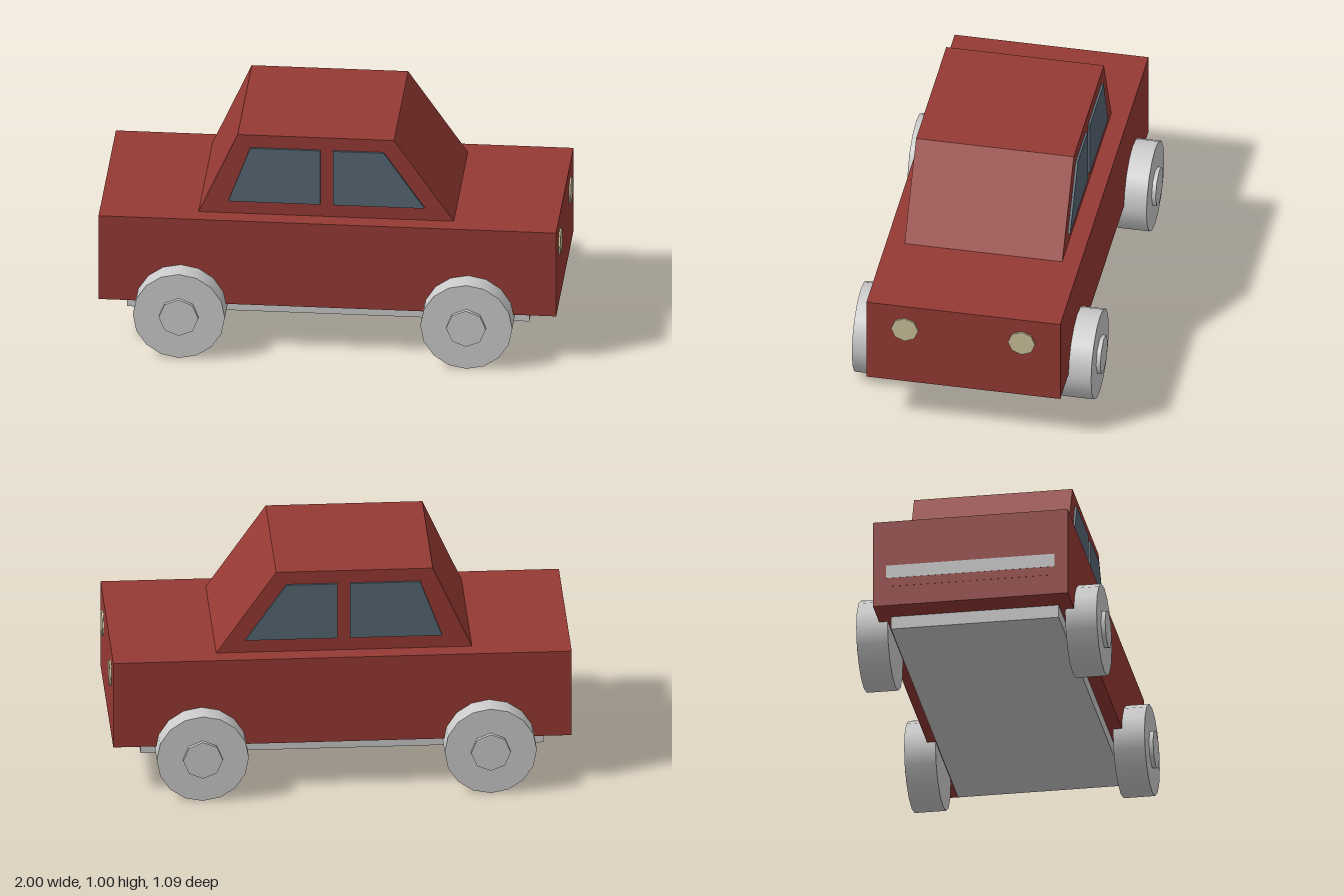
import * as THREE from 'three';

const mat = (color, flatShading = false) => new THREE.MeshStandardMaterial({ color, flatShading });

export function createModel() {
  const car = new THREE.Group();
  car.name = 'car';
  const red = mat(0x963a34, true);
  const glass = mat(0x586874, true);
  const lamp = mat(0xcdc19c, true);
  const grey = mat(0xcccccc);

  const add = (name, geometry, material, x = 0, y = 0, z = 0, parent = car) => {
    const mesh = new THREE.Mesh(geometry, material);
    mesh.name = name;
    mesh.position.set(x, y, z);
    parent.add(mesh);
    return mesh;
  };
  // Side-view outline extruded along z, centred on z = 0
  const slab = (points, depth) => new THREE.ExtrudeGeometry(
    new THREE.Shape(points.map(([x, y]) => new THREE.Vector2(x, y))),
    { depth, bevelEnabled: false }
  ).translate(0, 0, -depth / 2);

  // Lower body, cabin and underside
  add('body', new THREE.BoxGeometry(1.99, 0.4, 0.856), red, -0.003, 0.42, 0);
  add('cabin', slab([[-0.57, 0.62], [0.54, 0.62], [0.28, 0.997], [-0.4, 0.997]], 0.696), red);
  add('chassis', new THREE.BoxGeometry(1.75, 0.06, 0.736), grey, -0.005, 0.192, 0);

  // Rear panel with a thin trim strip
  add('rearPanel', new THREE.BoxGeometry(0.01, 0.22, 0.73), red, -0.994, 0.42, 0);
  add('rearTrim', new THREE.BoxGeometry(0.01, 0.06, 0.74), grey, -0.995, 0.38, 0);

  // Side windows
  const rearWindow = [[-0.44, 0.68], [-0.04, 0.68], [-0.04, 0.938], [-0.345, 0.938]];
  const frontWindow = [[0.015, 0.68], [0.414, 0.68], [0.236, 0.938], [0.015, 0.938]];
  // Wheels and hubs, built facing +z
  const tyre = new THREE.CylinderGeometry(0.2, 0.2, 0.138, 16).rotateX(Math.PI / 2);
  const hub = new THREE.CylinderGeometry(0.086, 0.086, 0.03, 8).rotateX(Math.PI / 2);
  const headlight = new THREE.CylinderGeometry(0.06, 0.06, 0.02, 8).rotateZ(-Math.PI / 2);

  for (const [side, s] of [['Near', 1], ['Far', -1]]) {
    add('rearWindow' + side, slab(rearWindow, 0.02), glass, 0, 0, s * 0.348);
    add('frontWindow' + side, slab(frontWindow, 0.02), glass, 0, 0, s * 0.348);
    add('headlight' + side, headlight, lamp, 0.99, 0.5, s * 0.258);
    for (const [end, x] of [['rear', -0.64], ['front', 0.61]]) {
      const wheel = new THREE.Group();
      wheel.name = end + 'Wheel' + side;
      wheel.position.set(x, 0.2, s * 0.459);
      add('tyre', tyre, grey, 0, 0, 0, wheel);
      add('hub', hub, grey, 0, 0, s * 0.072, wheel);
      car.add(wheel);
    }
  }
  return car;
}
